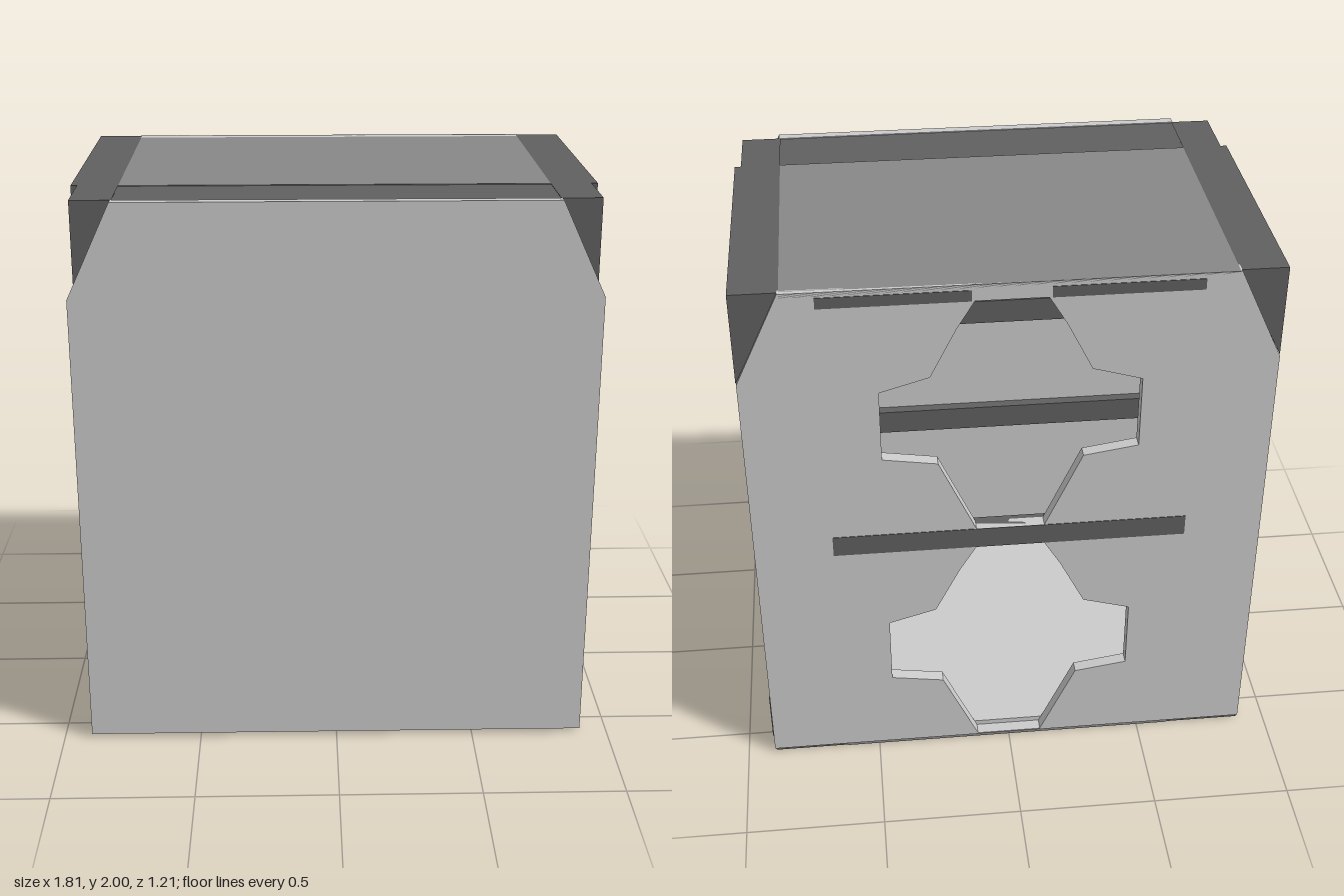
import * as THREE from 'three';

const light = new THREE.MeshStandardMaterial({ color: 0xcccccc, flatShading: true });
const mid = new THREE.MeshStandardMaterial({ color: 0x888888, flatShading: true });
const dark = new THREE.MeshStandardMaterial({ color: 0x606060, flatShading: true });

export function createModel() {
  const model = new THREE.Group();

  const add = (name, geometry, material) => {
    const mesh = new THREE.Mesh(geometry, material);
    mesh.name = name;
    model.add(mesh);
    return mesh;
  };

  // Box given by its extents on each axis
  const box = (name, material, [x0, x1], [y0, y1], [z0, z1]) =>
    add(name, new THREE.BoxGeometry(x1 - x0, y1 - y0, z1 - z0), material)
      .position.set((x0 + x1) / 2, (y0 + y1) / 2, (z0 + z1) / 2);

  // Right-hand half profile mirrored into a closed outline
  const mirrored = (half) => [...half, ...half.slice().reverse().map(([x, y]) => [-x, y])]
    .map(([x, y]) => new THREE.Vector2(x, y));

  // Outline in x and y pushed from z0 to z1
  const slab = (name, material, points, z0, z1, holes = []) => {
    const shape = new THREE.Shape(points);
    shape.holes = holes.map((h) => new THREE.Path(h));
    const g = new THREE.ExtrudeGeometry(shape, { depth: z1 - z0, bevelEnabled: false });
    add(name, g.translate(0, 0, z0), material);
  };

  // Front and back panels share the clipped-corner outline
  const panel = mirrored([[0.9, 0.015], [0.9, 1.67], [0.745, 2]]);
  const opening = (cy) => mirrored([
    [0.12, -0.46], [0.25, -0.17], [0.44, -0.14], [0.44, 0.13],
    [0.27, 0.18], [0.18, 0.36], [0.12, 0.46],
  ].map(([x, y]) => [x, y + cy]));
  slab('frontPanel', light, panel, 0.57, 0.605);
  slab('backPanel', light, panel, -0.605, -0.56, [opening(1.48), opening(0.48)]);

  // Shell with a cavity that slopes at all four long edges
  const outer = mirrored([[0.9, 0.015], [0.9, 1.67], [0.75, 1.985]]);
  const cavity = mirrored([[0.74, 0.04], [0.87, 0.29], [0.87, 1.66], [0.73, 1.96]]);
  slab('shell', light, outer, -0.56, 0.57, [cavity]);

  // Dark top frame and its raised centre panel
  box('topFrame', dark, [-0.88, 0.88], [1.985, 1.997], [-0.595, 0.57]);
  box('topPanel', mid, [-0.74, 0.74], [1.985, 2], [-0.605, 0.34]);

  // Base frame and its centre panel
  box('baseFrame', dark, [-0.895, 0.895], [0.003, 0.015], [-0.6, 0.57]);
  box('basePanel', mid, [-0.62, 0.62], [0, 0.015], [-0.6, 0.3]);

  for (const s of [-1, 1]) {
    const side = s < 0 ? 'right' : 'left';
    const span = (a, b) => [Math.min(s * a, s * b), Math.max(s * a, s * b)];

    // Wedges filling the clipped top corners
    const wedge = (x, y) => [[0.74, 2], [x, y], [x, 2]].map(([px, py]) => new THREE.Vector2(s * px, py));
    slab(side + 'TopCorner', dark, wedge(0.902, 1.67), -0.595, 0.34);
    slab(side + 'TopFrontCorner', dark, wedge(0.88, 1.71), 0.34, 0.57);

    // Side strip near the base
    box(side + 'SideStrip', dark, span(0.89, 0.904), [0.07, 0.26], [-0.59, 0.34]);

    // Inner corner posts
    box(side + 'FrontPost', dark, span(0.78, 0.87), [0.2, 1.75], [0.5, 0.57]);
    box(side + 'BackPost', dark, span(0.63, 0.73), [0.04, 1.96], [-0.56, -0.5]);

    // Rails along the inner side walls
    for (const y of [0.72, 1.23]) {
      box(side + 'SideRail', dark, span(0.83, 0.87), [y - 0.05, y + 0.05], [-0.5, 0.5]);
    }

    // Short rails at the top of the back
    box(side + 'BackTopRail', dark, span(0.13, 0.63), [1.94, 1.98], [-0.607, -0.59]);
  }

  // Rails across the inner front wall and between the back openings
  for (const y of [0.72, 1.23]) {
    box('frontRail', dark, [-0.83, 0.83], [y - 0.05, y + 0.05], [0.53, 0.57]);
  }
  box('backMiddleRail', dark, [-0.625, 0.625], [0.94, 1.02], [-0.607, -0.54]);

  // Small side peg
  box('sidePeg', dark, [0.89, 0.906], [0.575, 0.6], [0.315, 0.325]);

  return model;
}
